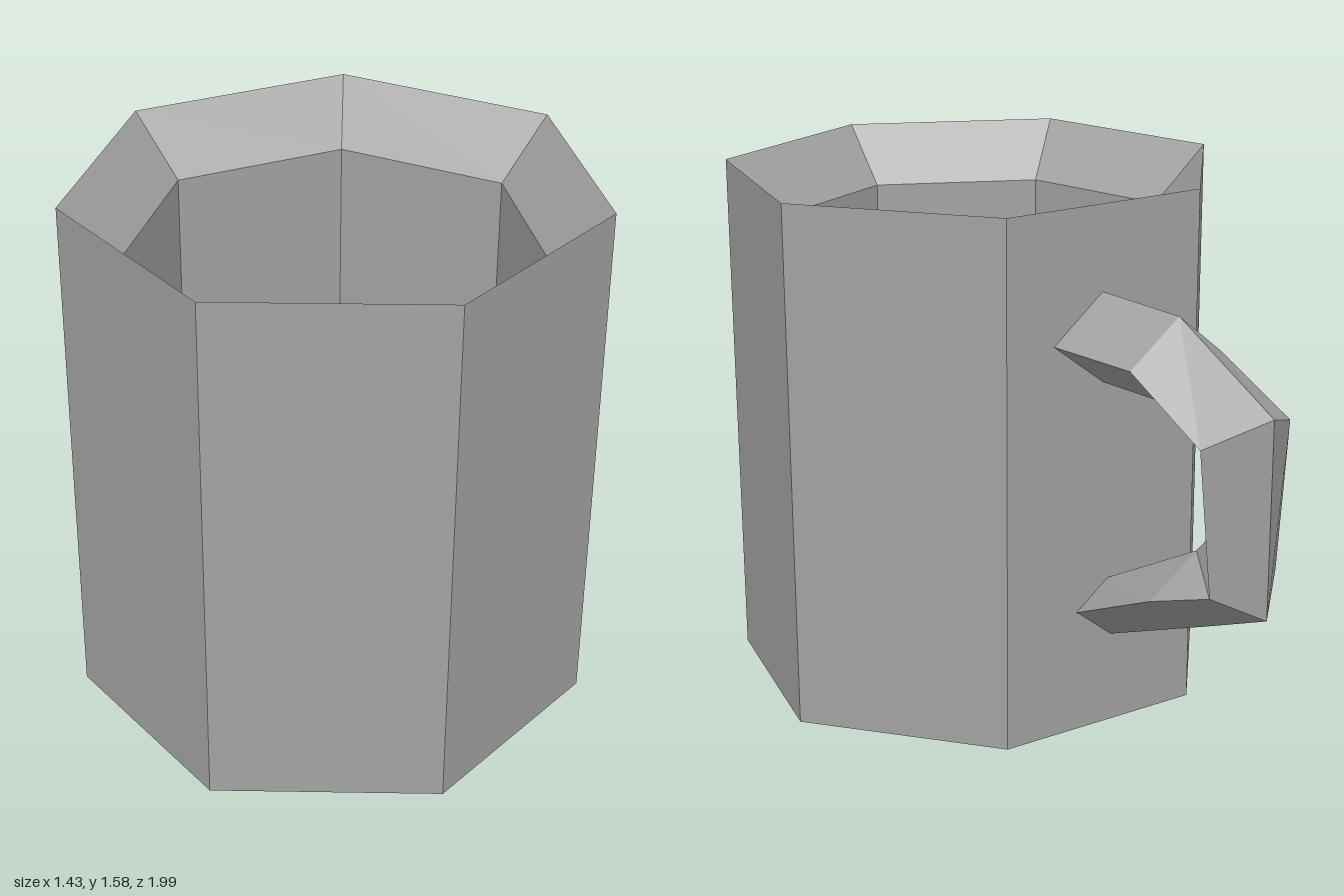
import * as THREE from 'three';

const SIDES = 7;

// Give every face its own flat normal
function faceted(geometry) {
  const flat = geometry.index ? geometry.toNonIndexed() : geometry;
  flat.computeVertexNormals();
  return flat;
}

// Skin a list of four-cornered rings into a closed-sided tube
function skinRings(rings) {
  const n = rings[0].length;
  const index = [];
  for (let i = 0; i < rings.length - 1; i++) {
    for (let j = 0; j < n; j++) {
      const a = i * n + j, b = i * n + (j + 1) % n;
      index.push(a, a + n, b, b, a + n, b + n);
    }
  }
  const geometry = new THREE.BufferGeometry();
  geometry.setAttribute('position', new THREE.Float32BufferAttribute(rings.flat(2), 3));
  geometry.setIndex(index);
  return faceted(geometry);
}

export function createModel() {
  const group = new THREE.Group();
  group.name = 'mug';
  const clay = new THREE.MeshStandardMaterial({ color: 0xa3a3a3 });
  clay.name = 'grey clay';
  clay.flatShading = true;

  // Seven-sided cup: base, outer wall, sloped rim, inner wall, floor
  const profile = [
    [0, 0], [1, 0], [1, 1.575], [0.787, 1.403], [0.787, 0.15], [0, 0.15],
  ].map(([r, y]) => new THREE.Vector2(r, y));
  const cup = new THREE.LatheGeometry(profile, SIDES, -Math.PI / 2);
  cup.scale(0.754, 1, 0.723);
  cup.translate(0.036, 0, 0.29);
  const body = new THREE.Mesh(faceted(cup), clay);
  body.name = 'cup';
  group.add(body);

  // Handle rings, each as outer, left, inner and right corner;
  // both end rings sit just inside the cup wall
  const rings = [
    [[-0.10, 1.325, -0.317], [-0.27, 1.19, -0.28], [-0.105, 1.06, -0.315], [0.06, 1.19, -0.352]],
    [[-0.20, 1.325, -0.65], [-0.35, 1.20, -0.60], [-0.20, 1.07, -0.65], [-0.04, 1.20, -0.69]],
    [[-0.31, 1.13, -1.0], [-0.435, 1.07, -0.855], [-0.26, 0.935, -0.79], [-0.135, 1.045, -0.93]],
    [[-0.338, 0.54, -0.95], [-0.423, 0.635, -0.83], [-0.265, 0.74, -0.765], [-0.187, 0.61, -0.905]],
    [[-0.284, 0.425, -0.69], [-0.41, 0.55, -0.65], [-0.25, 0.66, -0.69], [-0.09, 0.55, -0.735]],
    [[-0.14, 0.265, -0.308], [-0.24, 0.345, -0.285], [-0.13, 0.443, -0.31], [-0.025, 0.36, -0.334]],
  ];
  const handle = new THREE.Mesh(skinRings(rings), clay);
  handle.name = 'handle';
  group.add(handle);

  return group;
}
